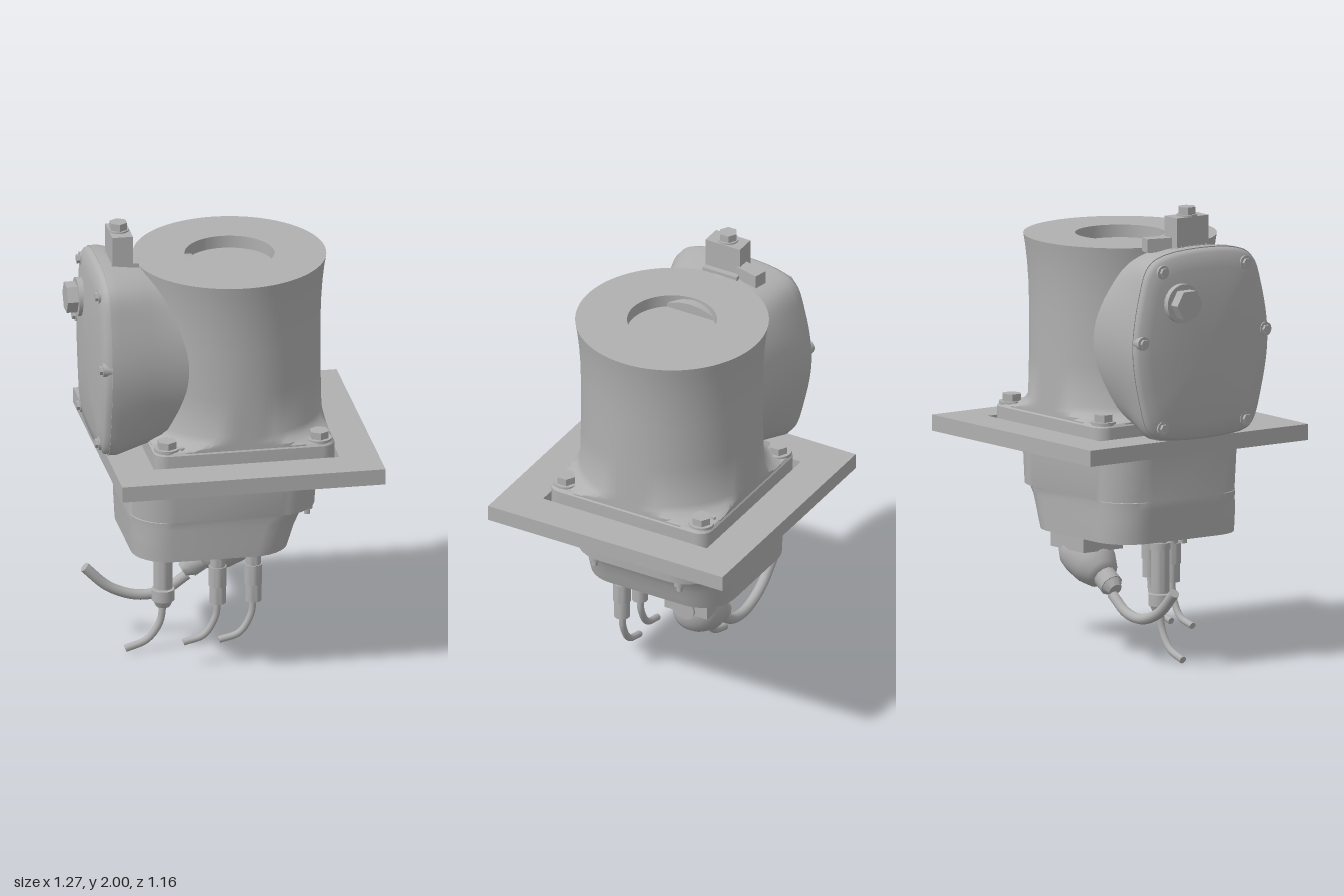
import * as THREE from 'three';
import { toCreasedNormals } from 'three/addons/utils/BufferGeometryUtils.js';

const metal = new THREE.MeshStandardMaterial({ color: 0xb0b0b0 });
metal.name = 'grey metal';
const V = (x, y, z) => new THREE.Vector3(x, y, z);
const AX = 0.055; // column axis

// Skin through equal-length rings, with both ends capped
function loft(rings, crease = 0.6) {
  const n = rings[0].length, pos = [], idx = [];
  rings.forEach(r => r.forEach(p => pos.push(p.x, p.y, p.z)));
  for (let i = 0; i < rings.length - 1; i++) {
    for (let j = 0; j < n; j++) {
      const k = (j + 1) % n, a = i * n + j, b = i * n + k;
      idx.push(a, b, b + n, a, b + n, a + n);
    }
  }
  [0, rings.length - 1].forEach((r, end) => {
    const c = rings[r].reduce((s, p) => s.add(p), V(0, 0, 0)).divideScalar(n);
    const ci = pos.length / 3;
    pos.push(c.x, c.y, c.z);
    for (let j = 0; j < n; j++) {
      const a = r * n + j, b = r * n + (j + 1) % n;
      if (end) idx.push(ci, a, b); else idx.push(ci, b, a);
    }
  });
  const g = new THREE.BufferGeometry();
  g.setAttribute('position', new THREE.Float32BufferAttribute(pos, 3));
  g.setIndex(idx);
  return toCreasedNormals(g, crease);
}

// Horizontal rounded rectangle at height y
function roundRect(y, x0, x1, hz, r) {
  const pts = [], cx = (x0 + x1) / 2, hx = (x1 - x0) / 2;
  [[1, 1], [-1, 1], [-1, -1], [1, -1]].forEach(([sx, sz], q) => {
    for (let i = 0; i <= 8; i++) {
      const a = (q + i / 8) * Math.PI / 2;
      pts.push(V(cx + sx * (hx - r) + r * Math.cos(a), y, -(sz * (hz - r) + r * Math.sin(a))));
    }
  });
  return pts;
}

export function createModel() {
  const model = new THREE.Group();
  const add = (name, geo, x = 0, y = 0, z = 0, parent = model) => {
    const m = new THREE.Mesh(geo, metal);
    m.name = name;
    m.position.set(x, y, z);
    parent.add(m);
    return m;
  };
  const cyl = (r0, r1, h, n = 24) => toCreasedNormals(new THREE.CylinderGeometry(r0, r1, h, n), 0.6);
  const hex = (r, h) => cyl(r, r, h, 6);
  // Stack of [radiusTop, radiusBottom, yBottom, yTop]
  const stack = (name, x, z, parts, n = 24) => parts.forEach(([a, b, y0, y1]) =>
    add(name, cyl(a, b, y1 - y0, n), x, (y0 + y1) / 2, z));

  // Mounting plate with a square recess
  const s = new THREE.Shape();
  s.moveTo(-0.52, -0.58).lineTo(0.63, -0.58).lineTo(0.63, 0.58).lineTo(-0.52, 0.58).closePath();
  const hole = new THREE.Path();
  hole.moveTo(-0.35, -0.405).lineTo(-0.35, 0.405).lineTo(0.46, 0.405).lineTo(0.46, -0.405).closePath();
  s.holes.push(hole);
  const plate = new THREE.ExtrudeGeometry(s, { depth: 0.05, bevelEnabled: false });
  plate.rotateX(-Math.PI / 2);
  add('mountingPlate', plate, 0, 0.955, 0);
  add('mountingPlateUnderside', new THREE.BoxGeometry(1.15, 0.02, 1.16), AX, 0.945, 0);

  // Column flange
  add('flange', loft([
    roundRect(0.95, -0.34, 0.45, 0.395, 0.06), roundRect(1.055, -0.34, 0.45, 0.395, 0.06),
    roundRect(1.067, -0.33, 0.44, 0.385, 0.05)]));

  // Column: flared top, round recess, foot spreading into the square flange
  const ring = (y, r) => Array.from({ length: 96 }, (_, i) => {
    const a = i / 96 * Math.PI * 2, c = Math.cos(a), d = Math.sin(a);
    const q = Math.min(r, 0.39 / Math.max(Math.abs(c), Math.abs(d)));
    const k = y < 1.3 ? q : r;
    return V(AX + c * k, y, -d * k);
  });
  add('column', loft([[1.0, 0.47], [1.067, 0.47], [1.078, 0.435], [1.095, 0.41], [1.12, 0.395], [1.3, 0.391],
    [1.5, 0.391], [1.6, 0.393], [1.7, 0.4], [1.77, 0.408], [1.82, 0.416],
    [1.82, 0.193], [1.765, 0.193]].map(([y, r]) => ring(y, r))));

  // Flange bolts and their tips below the plate
  for (const x of [-0.28, 0.385]) {
    for (const z of [-0.335, 0.335]) {
      stack('flangeBoltWasher', x, z, [[0.055, 0.055, 1.06, 1.076]]);
      add('flangeBolt', hex(0.043, 0.035), x, 1.09, z);
      add('flangeBoltTip', cyl(0.013, 0.013, 0.004, 12), x, 0.934, z);
    }
  }
  for (const [x, z] of [[0.325, -0.36], [-0.22, 0.36]]) add('flangePin', cyl(0.012, 0.012, 0.02, 12), x, 1.07, z);

  // Lower housing, cut back on the +x side near the bottom
  add('lowerHousing', loft([
    [0.545, -0.41, 0.27, 0.345, 0.16], [0.59, -0.412, 0.285, 0.346, 0.16], [0.64, -0.415, 0.3, 0.347, 0.16],
    [0.69, -0.417, 0.325, 0.348, 0.17], [0.725, -0.42, 0.35, 0.349, 0.17], [0.727, -0.42, 0.392, 0.35, 0.18],
    [0.94, -0.43, 0.4, 0.356, 0.18]].map(a => roundRect(...a))));
  for (const z of [-0.21, 0.21]) {
    stack('housingScrew', 0.355, z, [[0.024, 0.024, 0.7, 0.73], [0.014, 0.014, 0.675, 0.7]], 12);
  }

  // Side gearbox: rounded cover outline blending to an oval inside the column
  const cy = 1.41;
  const half = [[0.17, 1.005], [0.265, 1.035], [0.325, 1.2], [0.357, 1.42], [0.325, 1.64], [0.275, 1.775], [0.18, 1.82]];
  const loop = [...half, ...half.map(([z, y]) => [-z, y]).reverse()].map(([z, y]) => V(0, y, z));
  const outline = new THREE.CatmullRomCurve3(loop, true, 'centripetal').getPoints(84).slice(0, 84);
  const coverRing = (x, k, oval = 0) => outline.map(p => {
    const a = Math.atan2((p.y - cy) / 0.405, p.z / 0.36);
    const y = THREE.MathUtils.lerp(cy + (p.y - cy) * k, cy + 0.4 * Math.sin(a), oval);
    return V(x, y, THREE.MathUtils.lerp(p.z * k, 0.31 * Math.cos(a), oval));
  });
  add('gearbox', loft([coverRing(-0.1, 1, 1), coverRing(-0.2, 1, 0.9), coverRing(-0.35, 1, 0.5),
    coverRing(-0.48, 1), coverRing(-0.52, 1)], 0.8));
  add('gearboxCover', loft([coverRing(-0.515, 0.992), coverRing(-0.535, 0.985), coverRing(-0.548, 0.95),
    coverRing(-0.56, 0.8), coverRing(-0.572, 0.5), coverRing(-0.577, 0.2)], 0.8));

  // Cover screws and plug, pointing along -x
  const sideways = (name, geo, x, y, z) => { add(name, geo, x, y, z).rotation.z = Math.PI / 2; };
  for (const side of [-1, 1]) {
    for (const [y, z] of [[1.07, 0.22], [1.45, 0.325], [1.75, 0.22]]) {
      sideways('coverScrewBoss', cyl(0.03, 0.03, 0.04, 16), -0.54, y, side * z);
      sideways('coverScrew', hex(0.02, 0.03), -0.558, y, side * z);
    }
  }
  sideways('plugWasher', cyl(0.085, 0.085, 0.05), -0.565, 1.61, -0.135);
  sideways('plug', hex(0.068, 0.06), -0.607, 1.61, -0.135);

  // Vent block on top of the gearbox
  add('ventBlock', new THREE.BoxGeometry(0.09, 0.16, 0.17), -0.427, 1.88, 0);
  const arm = add('ventArm', new THREE.BoxGeometry(0.06, 0.06, 0.12), -0.395, 1.842, -0.13);
  arm.rotation.y = -0.25;
  add('ventFoot', new THREE.BoxGeometry(0.12, 0.04, 0.17), -0.415, 1.815, 0);
  stack('ventWasher', -0.43, 0, [[0.045, 0.045, 1.955, 1.967]]);
  add('ventBolt', hex(0.04, 0.035), -0.43, 1.982, 0);

  // Cables
  const cable = (name, pts, r) => {
    const curve = new THREE.CatmullRomCurve3(pts);
    add(name, new THREE.TubeGeometry(curve, 32, r, 12));
    const end = pts[pts.length - 1];
    const cap = add(name + 'End', new THREE.CircleGeometry(r, 12), end.x, end.y, end.z);
    cap.lookAt(end.clone().add(curve.getTangent(1)));
  };

  // Two straight connectors
  for (const x of [-0.035, 0.12]) {
    stack('connector', x, 0.21, [[0.042, 0.042, 0.5, 0.55], [0.033, 0.033, 0.44, 0.5],
      [0.039, 0.039, 0.37, 0.46], [0.035, 0.035, 0.29, 0.37]]);
    cable('connectorCable', [V(x, 0.3, 0.21), V(x - 0.01, 0.225, 0.21), V(x - 0.06, 0.145, 0.21), V(x - 0.15, 0.116, 0.21)], 0.015);
  }

  // Long connector with a gland
  stack('longConnector', -0.235, 0, [[0.032, 0.032, 0.5, 0.55], [0.046, 0.046, 0.48, 0.51], [0.04, 0.04, 0.29, 0.48],
    [0.05, 0.05, 0.235, 0.285], [0.045, 0.03, 0.205, 0.235]]);
  cable('longConnectorCable', [V(-0.235, 0.22, 0), V(-0.25, 0.13, 0), V(-0.305, 0.055, 0), V(-0.4, 0.018, 0)], 0.016);

  // Blanking plugs
  for (const [x, z] of [[-0.135, 0.12], [-0.235, 0.12], [0.02, 0.04]]) {
    stack('blankingPlug', x, z, [[0.033, 0.033, 0.525, 0.55], [0.02, 0.02, 0.495, 0.525]], 12);
  }

  // Elbow connector: rounded hood leaning down toward -x, with gland and cable
  const elbow = new THREE.Group();
  elbow.name = 'elbowConnector';
  elbow.position.set(0.1, 0.44, -0.155);
  elbow.rotation.z = -1.01; // local -y leans toward -x and down
  model.add(elbow);
  const hood = [[0, 0.115], [0.05, 0.103], [0.09, 0.07], [0.108, 0.03], [0.11, -0.02], [0.1, -0.09], [0.075, -0.15], [0.05, -0.17], [0, -0.17]];
  const hoodGeo = new THREE.LatheGeometry(hood.reverse().map(p => new THREE.Vector2(...p)), 32);
  add('elbowHood', toCreasedNormals(hoodGeo, 0.7), 0, 0, 0, elbow);
  add('elbowGland', cyl(0.052, 0.052, 0.06, 12), 0, -0.2, 0, elbow);
  add('elbowGlandNut', cyl(0.048, 0.03, 0.035), 0, -0.245, 0, elbow);
  add('elbowBase', new THREE.BoxGeometry(0.24, 0.09, 0.21), 0.085, 0.505, -0.155);
  sideways('elbowCap', cyl(0.045, 0.045, 0.03), 0.2, 0.48, -0.155);
  cable('elbowCable', [V(-0.1, 0.28, -0.155), V(-0.2, 0.215, -0.155), V(-0.31, 0.2, -0.155),
    V(-0.44, 0.245, -0.155), V(-0.55, 0.345, -0.155)], 0.023);

  return model;
}
